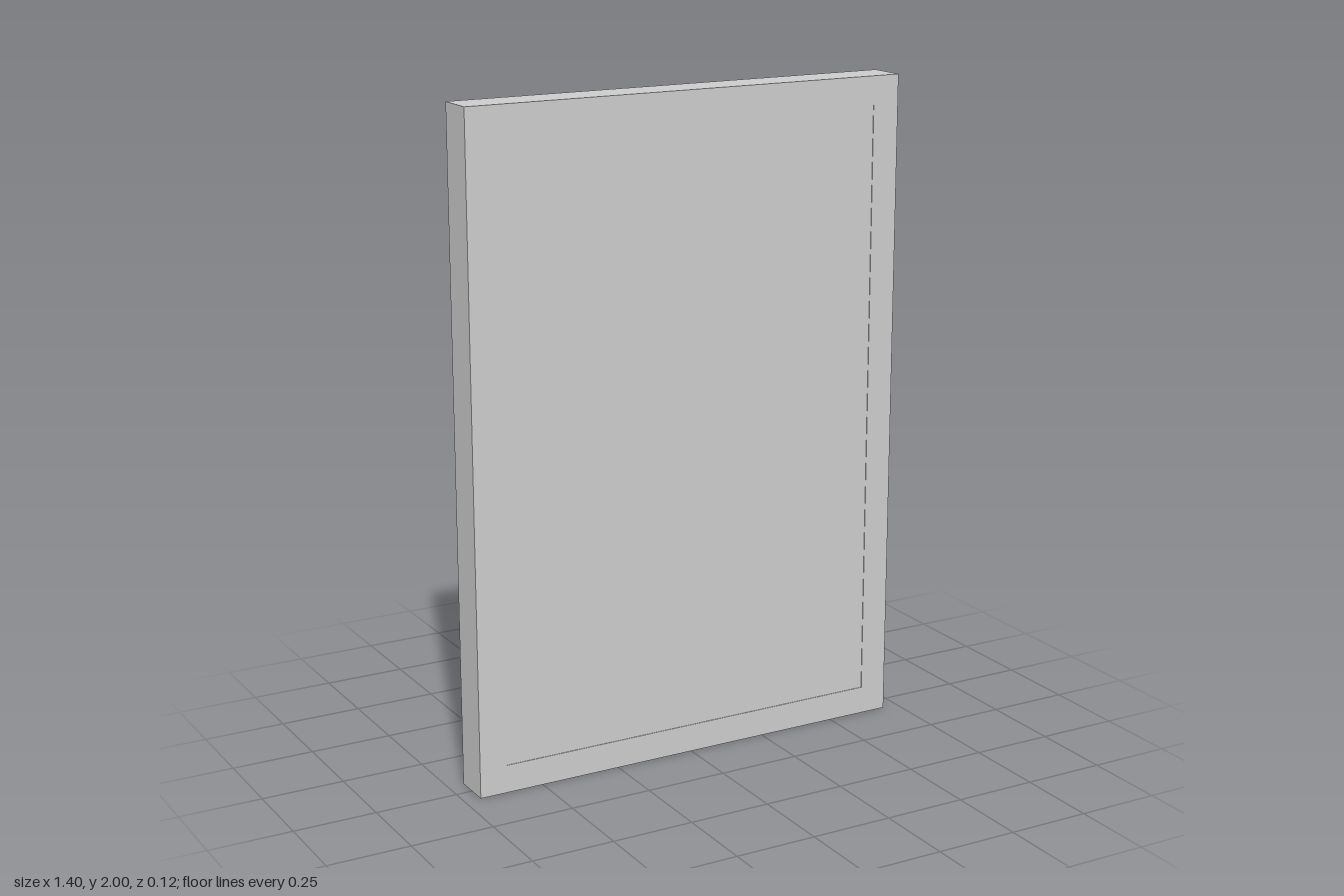
import * as THREE from 'three';

const W = 1.4, H = 2, DEPTH = 0.12, RAIL = 0.085;

// One frame rail with 45 degree mitred ends, outer edge along y = 0
function railGeometry(length) {
  const h = length / 2;
  const shape = new THREE.Shape([
    new THREE.Vector2(-h, 0),
    new THREE.Vector2(h, 0),
    new THREE.Vector2(h - RAIL, RAIL),
    new THREE.Vector2(-h + RAIL, RAIL),
  ]);
  return new THREE.ExtrudeGeometry(shape, { depth: DEPTH, bevelEnabled: false })
    .translate(0, 0, -DEPTH / 2);
}

export function createModel() {
  const model = new THREE.Group();
  model.name = 'pictureFrame';
  const grey = new THREE.MeshStandardMaterial({ color: 0xcccccc });
  grey.name = 'lightGrey';

  // Four rails: name, length, position and turn about z
  const rails = [
    ['bottomRail', W, 0, 0, 0],
    ['leftRail', H, W / 2, H / 2, Math.PI / 2],
    ['topRail', W, 0, H, Math.PI],
    ['rightRail', H, -W / 2, H / 2, -Math.PI / 2],
  ];
  for (const [name, length, x, y, turn] of rails) {
    const rail = new THREE.Mesh(railGeometry(length), grey);
    rail.name = name;
    rail.position.set(x, y, 0);
    rail.rotation.z = turn;
    model.add(rail);
  }

  // Panel almost flush with the front, recessed at the back
  const front = 0.058, back = 0.017;
  const panel = new THREE.Mesh(
    new THREE.BoxGeometry(W - 2 * RAIL, H - 2 * RAIL, front - back), grey);
  panel.name = 'panel';
  panel.position.set(0, H / 2, (front + back) / 2);
  model.add(panel);

  return model;
}
